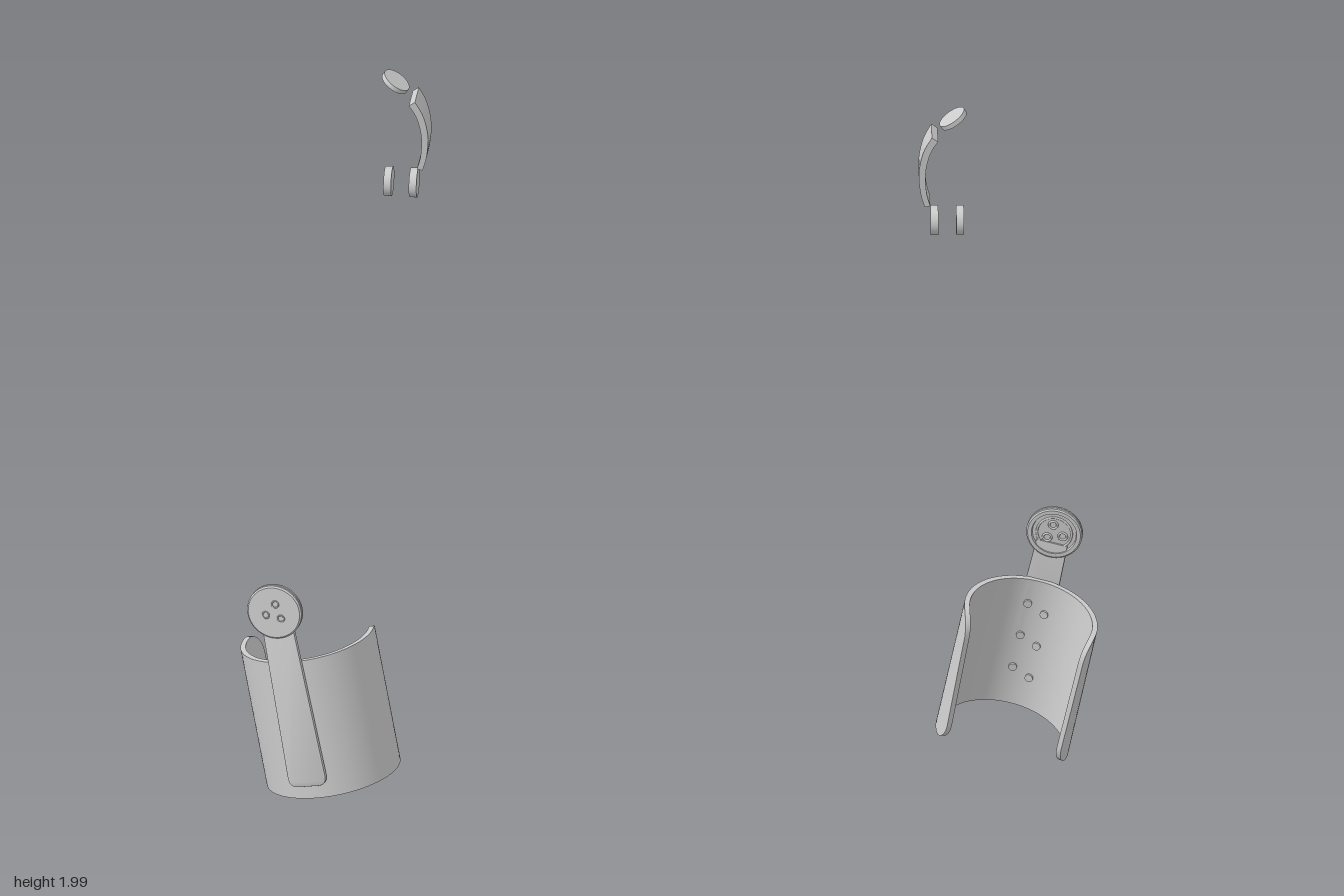
import * as THREE from 'three';
import { toCreasedNormals } from 'three/addons/utils/BufferGeometryUtils.js';

const H = 0.385, RX = 0.178, RZ = 0.187, WALL = 0.014, CORNER = 0.06;

// Open cuff: each row is a closed loop of outer then inner points, with rounded free corners
function cuffGeometry() {
  const rows = 24, seg = 56, loop = 2 * (seg + 1);
  const pos = [], idx = [];
  const rad = THREE.MathUtils.degToRad;
  for (let j = 0; j <= rows; j++) {
    const y = (H / 2) * Math.sin((Math.PI / 2) * ((2 * j) / rows - 1));
    const k = y / H + 0.5;
    const d = Math.max(0, Math.abs(y) - (H / 2 - CORNER));
    const inset = (CORNER - Math.sqrt(Math.max(0, CORNER * CORNER - d * d))) / 0.18;
    const t0 = -rad(126 - 4 * k) + inset, t1 = rad(118 - 8 * k) - inset;
    for (let i = 0; i < loop; i++) {
      const inner = i > seg;
      const t = THREE.MathUtils.lerp(t0, t1, (inner ? loop - 1 - i : i) / seg);
      const w = inner ? WALL : 0;
      pos.push((RX - w) * Math.sin(t), y, (RZ - w) * Math.cos(t));
    }
  }
  for (let j = 0; j < rows; j++) {
    for (let i = 0; i < loop; i++) {
      const a = j * loop + i, b = j * loop + ((i + 1) % loop);
      idx.push(a, b, b + loop, a, b + loop, a + loop);
    }
  }
  for (let i = 0; i < seg; i++) {
    const a = i, b = i + 1, c = loop - 2 - i, d = loop - 1 - i, n = rows * loop;
    idx.push(n + a, n + b, n + c, n + a, n + c, n + d);
    idx.push(a, c, b, a, d, c);
  }
  const g = new THREE.BufferGeometry();
  g.setAttribute('position', new THREE.Float32BufferAttribute(pos, 3));
  g.setIndex(idx);
  return toCreasedNormals(g, 0.6);
}

// Tapered strap with a rounded lower end
function armGeometry() {
  const s = new THREE.Shape(), r = 0.026, w = 0.052, y0 = -0.155;
  s.moveTo(-w + r, y0);
  s.lineTo(w - r, y0);
  s.quadraticCurveTo(w, y0, w, y0 + r);
  s.lineTo(0.042, 0.31);
  s.lineTo(-0.042, 0.31);
  s.lineTo(-w, y0 + r);
  s.quadraticCurveTo(-w, y0, -w + r, y0);
  const g = new THREE.ExtrudeGeometry(s, {
    depth: 0.009, bevelEnabled: true, bevelThickness: 0.003, bevelSize: 0.003,
    bevelOffset: -0.003, bevelSegments: 2, curveSegments: 8,
  });
  return toCreasedNormals(g, 0.6);
}

// Grooved round head with a recessed back
function headGeometry() {
  const profile = [
    [0, -0.004], [0.058, -0.004], [0.06, -0.011], [0.07, -0.011], [0.074, -0.008],
    [0.074, -0.002], [0.071, 0], [0.074, 0.002], [0.074, 0.007], [0.07, 0.011], [0, 0.011],
  ].map(([x, y]) => new THREE.Vector2(x, y));
  return toCreasedNormals(new THREE.LatheGeometry(profile, 48).rotateX(Math.PI / 2), 0.6);
}

// Curved link swept from a side outline, narrowing downwards
function linkGeometry() {
  const v = (p) => p.map(([x, y]) => new THREE.Vector2(x, y));
  const s = new THREE.Shape();
  s.moveTo(0.188, 1.921);
  s.splineThru(v([[0.208, 1.885], [0.22, 1.83], [0.218, 1.77], [0.208, 1.73]]));
  s.lineTo(0.223, 1.727);
  s.splineThru(v([[0.234, 1.77], [0.238, 1.83], [0.226, 1.89], [0.204, 1.933]]));
  s.closePath();
  const g = new THREE.ExtrudeGeometry(s, { depth: 0.086, bevelEnabled: false, curveSegments: 4 });
  g.translate(0, 0, -0.043);
  const p = g.attributes.position;
  for (let i = 0; i < p.count; i++) {
    const k = THREE.MathUtils.clamp((p.getY(i) - 1.73) / 0.2, 0, 1);
    p.setZ(i, p.getZ(i) * (0.78 + 0.22 * k));
  }
  g.translate(0, 0, -0.203);
  return toCreasedNormals(g, 0.6);
}

export function createModel() {
  const model = new THREE.Group();
  model.name = 'cuffAndLinks';
  const grey = new THREE.MeshStandardMaterial({ color: 0xcccccc });
  grey.name = 'light grey';
  const add = (parent, name, geometry, x = 0, y = 0, z = 0) => {
    const m = new THREE.Mesh(geometry, grey);
    m.name = name;
    m.position.set(x, y, z);
    parent.add(m);
    return m;
  };

  // Tilted cuff assembly
  const brace = new THREE.Group();
  brace.name = 'brace';
  brace.position.set(-0.0225, 0.2325, 0.0275);
  brace.quaternion.setFromUnitVectors(
    new THREE.Vector3(0, 1, 0), new THREE.Vector3(-0.075, 0.375, -0.045).normalize());
  model.add(brace);
  add(brace, 'cuff', cuffGeometry());

  // Strap and head lie flat against the front of the cuff
  const strap = new THREE.Group();
  strap.name = 'strap';
  strap.position.set(-0.033, 0, 0.181);
  strap.rotation.y = -0.15;
  brace.add(strap);
  add(strap, 'arm', armGeometry(), 0, 0, 0.003);
  const head = new THREE.Group();
  head.name = 'head';
  head.position.set(0, 0.34, 0.008);
  strap.add(head);
  add(head, 'headDisc', headGeometry());
  add(head, 'backRing', new THREE.TorusGeometry(0.046, 0.003, 8, 40), 0, 0, -0.005);
  for (let i = 0; i < 3; i++) {
    const a = (i * 2 * Math.PI) / 3 + 1.25;
    const x = 0.024 * Math.cos(a), y = 0.024 * Math.sin(a);
    add(head, 'frontEyelet', new THREE.TorusGeometry(0.009, 0.002, 6, 18), x, y, 0.011);
    add(head, 'backEyelet', new THREE.TorusGeometry(0.011, 0.003, 6, 18), x, y, -0.005);
  }

  // Rivets through the inner wall behind the strap
  for (const y of [0.11, 0.01, -0.09]) {
    for (const side of [-1, 1]) {
      const rivet = new THREE.CylinderGeometry(0.011, 0.011, 0.012, 18).rotateX(Math.PI / 2);
      const t = -0.19 + side * 0.15;
      const m = add(brace, 'rivet', rivet, (RX - WALL) * Math.sin(t), y + side * 0.01, (RZ - WALL) * Math.cos(t));
      m.rotation.y = t;
    }
  }

  // Separate small pieces above
  const coin = (h) => new THREE.CylinderGeometry(0.039, 0.039, h, 40);
  add(model, 'topDisc', coin(0.013), 0.148, 1.968, -0.203).rotation.z = -0.59;
  add(model, 'curvedLink', linkGeometry());
  for (const x of [0.13, 0.197]) {
    add(model, 'lowerDisc', coin(0.02), x, 1.673, -0.202).rotation.z = Math.PI / 2;
  }
  return model;
}
